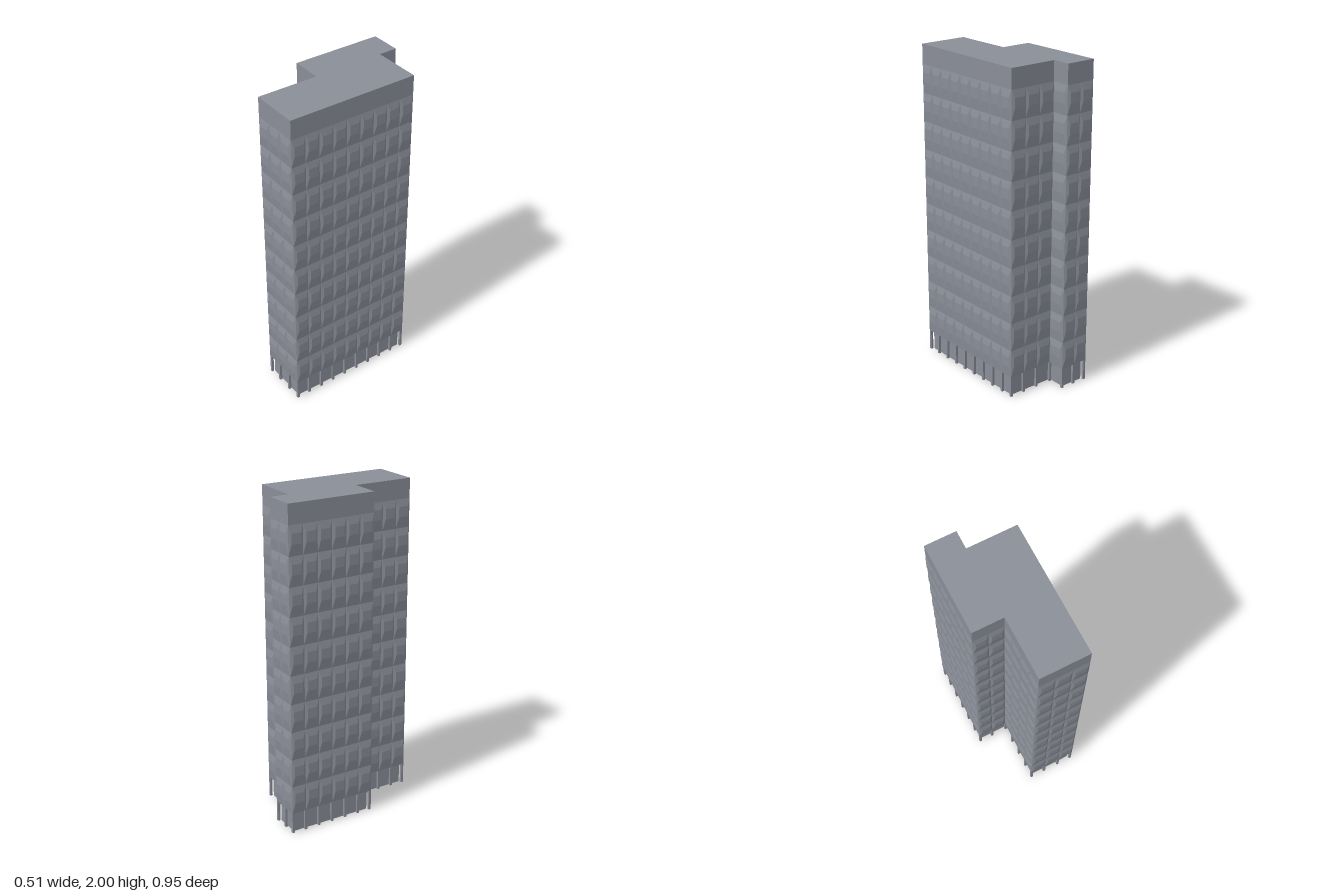
import * as THREE from 'three';
import { mergeGeometries } from 'three/addons/utils/BufferGeometryUtils.js';

const BASE = 0.13, EAVE = 1.88, TOP = 2, FLOORS = 10;

// Footprint corners (x, z) and the number of bays along the wall leaving each corner
const corners = [
  [-0.248, -0.47, 2], [-0.057, -0.47, 1], [-0.057, -0.355, 3], [0.248, -0.355, 9],
  [0.248, 0.467, 3], [-0.057, 0.467, 4], [-0.057, 0.087, 2], [-0.248, 0.087, 6],
];

// Straight walls with direction, outward normal and length
function wallsOf(points) {
  return points.map(([x, z, bays], i) => {
    const [x2, z2] = points[(i + 1) % points.length];
    const start = new THREE.Vector3(x, 0, z);
    const dir = new THREE.Vector3(x2 - x, 0, z2 - z);
    const length = dir.length();
    dir.normalize();
    return { start, dir, length, bays, normal: new THREE.Vector3(dir.z, 0, -dir.x) };
  });
}

// Footprint moved inwards by t
function inset(t) {
  const walls = wallsOf(corners);
  return corners.map(([x, z, bays], i) => {
    const a = walls[i].normal, b = walls[(i + walls.length - 1) % walls.length].normal;
    return [x - t * (a.x + b.x), z - t * (a.z + b.z), bays];
  });
}

function prism(points, y0, y1) {
  const shape = new THREE.Shape(points.map(([x, z]) => new THREE.Vector2(x, z)));
  return new THREE.ExtrudeGeometry(shape, { depth: y1 - y0, bevelEnabled: false })
    .rotateX(Math.PI / 2).translate(0, y1, 0);
}

// Places a geometry facing +z onto a wall, s along it and y up
function onWall(geometry, wall, s, y, out = 0) {
  const p = wall.start.clone().addScaledVector(wall.dir, s).addScaledVector(wall.normal, out);
  const m = new THREE.Matrix4().makeBasis(
    wall.dir.clone().negate(), new THREE.Vector3(0, 1, 0), wall.normal);
  return geometry.applyMatrix4(m.setPosition(p.x, y, p.z));
}

// Faceted bulging facade panel, centred on x and standing on y = 0
function panel(w, h) {
  const out = 0.0085, side = 0.016, low = 0.068, high = 0.045;
  const outer = [[-w / 2, 0, 0], [w / 2, 0, 0], [w / 2, h, 0], [-w / 2, h, 0]];
  const inner = [[-w / 2 + side, low, out], [w / 2 - side, low, out],
    [w / 2 - side, h - high, out], [-w / 2 + side, h - high, out]];
  const pos = [];
  const quad = (a, b, c, d) => pos.push(...a, ...b, ...c, ...a, ...c, ...d);
  quad(...inner);
  for (let i = 0; i < 4; i++) {
    const j = (i + 1) % 4;
    quad(outer[i], outer[j], inner[j], inner[i]);
  }
  const g = new THREE.BufferGeometry();
  g.setAttribute('position', new THREE.Float32BufferAttribute(pos, 3));
  g.computeVertexNormals();
  return g;
}

export function createModel() {
  const concrete = new THREE.MeshStandardMaterial({ color: 0x8a8e98, side: THREE.DoubleSide });
  concrete.name = 'concrete grey';
  const model = new THREE.Group();
  model.name = 'towerBlock';
  const add = (name, geometry) => {
    const mesh = new THREE.Mesh(geometry, concrete);
    mesh.name = name;
    model.add(mesh);
  };

  // Tower and plain parapet band
  add('towerBody', prism(corners, BASE, EAVE));
  add('parapet', prism(corners, EAVE, TOP));

  // Facade panels and ground floor columns
  const panels = [], columns = [];
  const floorHeight = (EAVE - BASE) / FLOORS, thick = 0.015;
  for (const wall of wallsOf(corners)) {
    const bay = wall.length / wall.bays;
    for (let b = 0; b < wall.bays; b++) {
      for (let f = 0; f < FLOORS; f++) {
        panels.push(onWall(panel(bay, floorHeight), wall, (b + 0.5) * bay, BASE + f * floorHeight));
      }
      if (b > 0) {
        columns.push(onWall(new THREE.BoxGeometry(thick, BASE, thick), wall, b * bay, BASE / 2, -thick / 2));
      }
    }
  }
  for (const [x, z] of inset(thick / 2)) {
    columns.push(new THREE.BoxGeometry(thick, BASE, thick).translate(x, BASE / 2, z));
  }
  add('facadePanels', mergeGeometries(panels));
  add('groundColumns', mergeGeometries(columns));

  // Recessed ground floor walls, open underneath
  const recessed = wallsOf(inset(0.02)).map((wall) =>
    onWall(new THREE.PlaneGeometry(wall.length, BASE), wall, wall.length / 2, BASE / 2));
  add('groundWalls', mergeGeometries(recessed));

  return model;
}
